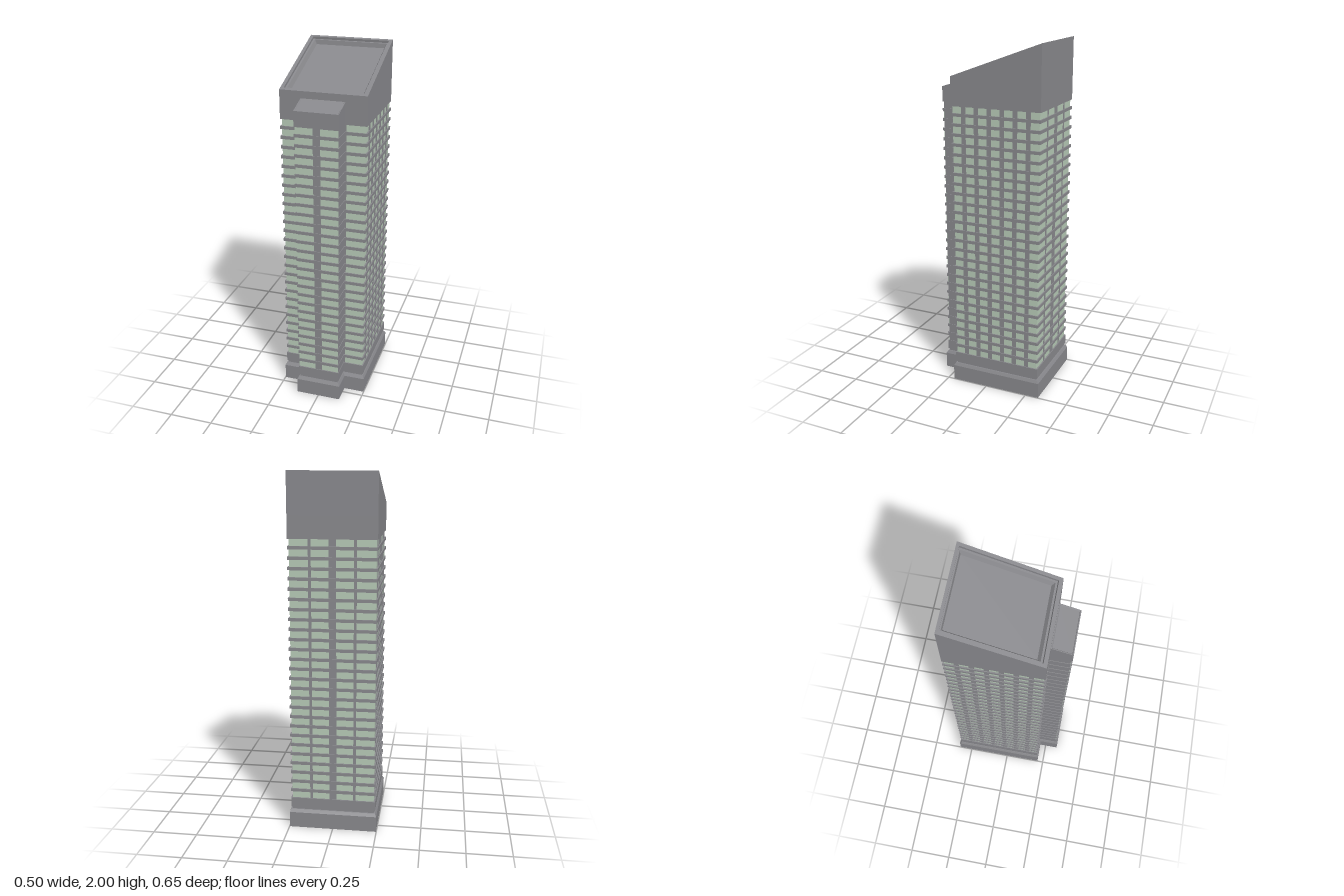
import * as THREE from 'three';
import { mergeGeometries } from 'three/addons/utils/BufferGeometryUtils.js';

const concrete = new THREE.MeshStandardMaterial({ color: 0x88888c });
concrete.name = 'concrete grey';
const glass = new THREE.MeshStandardMaterial({ color: 0xb6c9b6 });
glass.name = 'pale green glass';

// Box given by its limits
function box(x0, x1, y0, y1, z0, z1) {
  return new THREE.BoxGeometry(x1 - x0, y1 - y0, z1 - z0)
    .translate((x0 + x1) / 2, (y0 + y1) / 2, (z0 + z1) / 2);
}

// Rectangular ring of four corners; y may depend on z
function ring(x, z0, z1, yAt) {
  const y = typeof yAt === 'function' ? yAt : () => yAt;
  return [[-x, y(z1), z1], [x, y(z1), z1], [x, y(z0), z0], [-x, y(z0), z0]];
}

// Faceted solid running through the rings, closed at both ends
function loft(rings) {
  const pos = [];
  const quad = (a, b, c, d) => pos.push(...a, ...b, ...c, ...a, ...c, ...d);
  for (let i = 0; i < rings.length - 1; i++) {
    const lo = rings[i], hi = rings[i + 1];
    for (let k = 0; k < 4; k++) {
      const n = (k + 1) % 4;
      quad(lo[k], lo[n], hi[n], hi[k]);
    }
  }
  quad(...rings[rings.length - 1]);
  quad(...[...rings[0]].reverse());
  const geometry = new THREE.BufferGeometry();
  geometry.setAttribute('position', new THREE.Float32BufferAttribute(pos, 3));
  geometry.computeVertexNormals();
  return geometry;
}

export function createModel() {
  const model = new THREE.Group();
  const add = (name, geometry, material = concrete) => {
    const mesh = new THREE.Mesh(Array.isArray(geometry) ? mergeGeometries(geometry) : geometry, material);
    mesh.name = name;
    model.add(mesh);
  };

  // Main limits of the tower and its front wing
  const X = 0.24, BACK = -0.318, FRONT = 0.203, WX = 0.122, WFRONT = 0.317;
  const winLow = 0.177, pitch = 0.0552, winH = 0.038, rows = 27;
  const winTop = winLow + (rows - 1) * pitch + winH;

  // Plinth with chamfered top, groove and lower band
  const plinth = (x, z0, z1) => loft([
    ring(x + 0.008, z0 - 0.01, z1 + 0.01, 0),
    ring(x + 0.008, z0 - 0.01, z1 + 0.01, 0.09),
    ring(x, z0, z1, 0.107),
    ring(x - 0.007, z0 + 0.007, z1 - 0.007, 0.107),
    ring(x - 0.007, z0 + 0.007, z1 - 0.007, 0.12),
    ring(x, z0, z1, 0.12),
    ring(x, z0, z1, winLow),
  ]);
  add('towerPlinth', plinth(X, BACK, FRONT));
  add('wingPlinth', plinth(WX, 0, WFRONT));

  // Recessed cores behind the facade
  const cx = 0.231, cBack = -0.309, cFront = 0.195, wFront = 0.309;
  add('towerCore', box(-cx, cx, winLow, winTop, cBack, cFront));
  add('wingCore', box(-WX + 0.003, WX - 0.003, winLow, winTop, 0.1, wFront));

  // Floor slabs between the window rows
  const slabs = [], wingSlabs = [];
  for (let i = 0; i < rows - 1; i++) {
    const y0 = winLow + i * pitch + winH, y1 = winLow + (i + 1) * pitch;
    slabs.push(box(-X, X, y0, y1, BACK, FRONT));
    wingSlabs.push(box(-WX, WX, y0, y1, 0.1, WFRONT));
  }
  add('towerFloorSlabs', slabs);
  add('wingFloorSlabs', wingSlabs);

  // Window strips and the piers between them
  const panes = [], piers = [], t = 0.0015, p = 0.004;
  for (const s of [-1, 1]) {
    const span = (a, b) => (s > 0 ? [a, b] : [-b, -a]);
    const side = (list, a, b, z0, z1) => list.push(box(...span(a, b), winLow, winTop, z0, z1));
    // seven windows on each side wall
    for (let i = 0; i < 7; i++) {
      const z = 0.17 - i * 0.0757;
      side(panes, cx, cx + t, z - 0.025, z + 0.025);
      if (i < 6) side(piers, cx - 0.002, cx + p, z - 0.0507, z - 0.025);
    }
    // four wide windows across the back
    side(panes, 0.02, 0.115, cBack - t, cBack);
    side(panes, 0.13, cx, cBack - t, cBack);
    side(piers, 0.115, 0.13, cBack - p, cBack + 0.002);
    // front windows beside and on the wing
    side(panes, 0.128, cx, cFront, cFront + t);
    side(panes, 0.02, 0.119, wFront, wFront + t);
  }
  piers.push(box(-0.02, 0.02, winLow, winTop, cBack - p, cBack + 0.002));
  piers.push(box(-0.02, 0.02, winLow, winTop, wFront - 0.002, wFront + p));
  add('windows', panes, glass);
  add('piers', piers);

  // Upper band and sloping crown with a stepped roof recess
  add('upperBand', box(-X, X, winTop, 1.77, BACK, FRONT));
  const slope = (drop) => (z) => 1.81 + (FRONT - z) * 0.3647 - drop;
  add('crown', loft([
    ring(X, BACK, FRONT, 1.77),
    ring(X, BACK, FRONT, slope(0)),
    ring(0.221, -0.303, 0.183, slope(0)),
    ring(0.221, -0.305, 0.178, slope(0.014)),
    ring(0.21, -0.298, 0.168, slope(0.014)),
    ring(0.198, -0.295, 0.15, slope(0.038)),
  ]));

  // Sloping wing cap with a shallow inset
  const wingSlope = (drop) => (z) => 1.735 + (WFRONT - z) * 0.32 - drop;
  add('wingCap', loft([
    ring(WX, 0.19, WFRONT, winTop),
    ring(WX, 0.19, WFRONT, wingSlope(0)),
    ring(0.118, 0.207, 0.312, wingSlope(0)),
    ring(0.115, 0.21, 0.309, wingSlope(0.004)),
  ]));

  return model;
}
